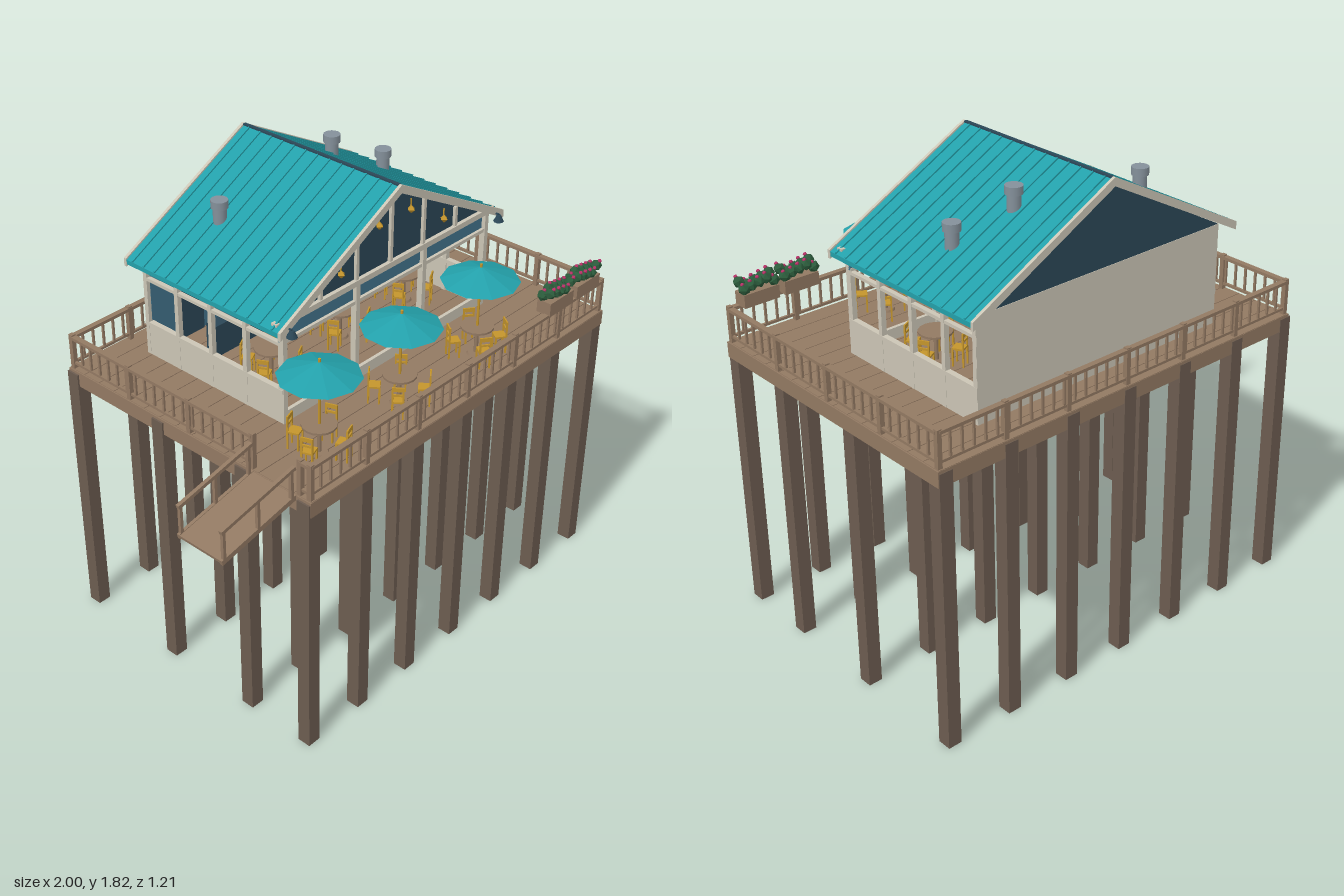
import * as THREE from 'three';
import { mergeGeometries } from 'three/addons/utils/BufferGeometryUtils.js';

const material = (name, color, side = THREE.FrontSide) => {
  const m = new THREE.MeshStandardMaterial({ color, side });
  m.name = name;
  return m;
};

// Geometry helpers
const box = (w, h, d, x, y, z) => new THREE.BoxGeometry(w, h, d).translate(x, y, z);
const span = (x0, x1, y0, y1, z0, z1) =>
  box(x1 - x0, y1 - y0, z1 - z0, (x0 + x1) / 2, (y0 + y1) / 2, (z0 + z1) / 2);
const cyl = (rt, rb, h, x, y, z, n = 12) => new THREE.CylinderGeometry(rt, rb, h, n).translate(x, y + h / 2, z);
function beam(a, b, w, h) {
  const A = new THREE.Vector3(...a), B = new THREE.Vector3(...b);
  const m = new THREE.Matrix4().lookAt(A, B, new THREE.Vector3(0, 1, 0));
  const mid = A.clone().add(B).multiplyScalar(0.5);
  return new THREE.BoxGeometry(w, h, A.distanceTo(B)).applyMatrix4(m).translate(mid.x, mid.y, mid.z);
}
function prism(points, z0, depth) {
  const s = new THREE.Shape(points.map(p => new THREE.Vector2(...p)));
  return new THREE.ExtrudeGeometry(s, { depth, bevelEnabled: false }).translate(0, 0, z0);
}

export function createModel() {
  const wood = material('deckWood', 0x927962);
  const pileWood = material('pileWood', 0x6c5c50);
  const teal = material('tealRoof', 0x23a0aa, THREE.DoubleSide);
  const cream = material('creamPaint', 0xcbc5b5);
  const navy = material('darkGable', 0x2b4757);
  const blue = material('blueWall', 0x43748c);
  const yellow = material('yellowChair', 0xc4952c);
  const grey = material('greyMetal', 0x84909a);
  const green = material('leafGreen', 0x2c5c3c);
  const pink = material('flowerPink', 0xb83268);

  const model = new THREE.Group();
  model.name = 'stiltRestaurant';
  const add = (name, mat, geos) => {
    const mesh = new THREE.Mesh(mergeGeometries(geos.map(g => g.index ? g.toNonIndexed() : g)), mat);
    mesh.name = name;
    model.add(mesh);
  };

  const D = 1.10; // deck height
  const cols = [-0.64, -0.375, -0.105, 0.165, 0.43, 0.70, 0.97];
  const rows = [0.57, 0.285, -0.125, -0.575];

  // Piles
  add('piles', pileWood, cols.flatMap(x => rows.map(z => box(0.054, 1.088, 0.054, x, 0.544, z))));

  // Deck: slab, planks, rim and joists
  add('deckSlab', wood, [span(-0.655, 0.995, 1.075, 1.09, -0.595, 0.595)]);
  const planks = [];
  for (let i = 0; i < 15; i++) planks.push(box(1.65, 0.012, 0.077, 0.17, D - 0.006, -0.56 + i * 0.08));
  add('deckPlanks', wood, planks);
  add('deckRim', wood, [
    span(-0.66, 1, 1.038, 1.098, 0.585, 0.6), span(-0.66, 1, 1.038, 1.098, -0.6, -0.585),
    span(-0.66, -0.645, 1.038, 1.098, -0.585, 0.585), span(0.985, 1, 1.038, 1.098, -0.585, 0.585)]);
  const joists = rows.map(z => span(-0.645, 0.985, 1.04, 1.076, z - 0.012, z + 0.012));
  for (let i = 0; i < 19; i++) joists.push(span(-0.58 + i * 0.083, -0.568 + i * 0.083, 1.05, 1.076, -0.585, 0.585));
  add('joists', pileWood, joists);

  // Deck railing
  const posts = [], rails = [], balusters = [];
  function railing(x0, z0, x1, z1, postCount) {
    const len = Math.hypot(x1 - x0, z1 - z0), n = Math.round(len / 0.048);
    const at = t => [x0 + (x1 - x0) * t, z0 + (z1 - z0) * t];
    for (let i = 0; i < postCount; i++) {
      const [x, z] = at(i / (postCount - 1));
      posts.push(box(0.018, 0.14, 0.018, x, D + 0.07, z));
    }
    for (let i = 1; i < n; i++) {
      const [x, z] = at(i / n);
      balusters.push(box(0.008, 0.1, 0.008, x, D + 0.07, z));
    }
    rails.push(beam([x0, 1.229, z0], [x1, 1.229, z1], 0.022, 0.012));
    rails.push(beam([x0, 1.122, z0], [x1, 1.122, z1], 0.01, 0.01));
  }
  railing(-0.645, 0.585, 0.985, 0.585, 7);
  railing(-0.645, -0.585, 0.985, -0.585, 7);
  railing(0.985, 0.585, 0.985, -0.585, 5);
  railing(-0.645, 0.325, -0.645, -0.585, 4);
  railing(-0.645, 0.585, -0.645, 0.54, 2);
  add('railPosts', wood, posts);
  add('handrails', wood, rails);
  add('balusters', wood, balusters);

  // Entrance ramp with sloping handrails
  const ramp = [beam([-0.655, 1.092, 0.43], [-0.997, 1.02, 0.43], 0.205, 0.012)];
  for (const z of [0.333, 0.527]) {
    ramp.push(beam([-0.655, 1.09, z], [-0.997, 1.018, z], 0.012, 0.02));
    ramp.push(beam([-0.66, 1.208, z], [-0.995, 1.136, z], 0.014, 0.014));
    for (const x of [-0.985, -0.83, -0.675]) {
      const y = 1.092 + (x + 0.655) * 0.21;
      ramp.push(box(0.012, 0.112, 0.012, x, y + 0.056, z));
    }
  }
  add('ramp', wood, ramp);

  // House walls
  const L = -0.395, R = 0.725, F = 0.225, B = -0.465, C = 0.165, E = 1.49;
  add('walls', cream, [
    span(L, R, D, E, B, B + 0.012),
    span(L, L + 0.014, D, 1.23, B, F), span(R - 0.014, R, D, 1.23, B, F),
    span(L, R, D, 1.145, F - 0.014, F)]);
  const gable = [[L, E], [R, E], [C, 1.795]];
  add('gables', navy, [prism(gable, F - 0.02, 0.008), prism(gable, B + 0.002, 0.01)]);
  add('innerBackWall', blue, [span(L + 0.014, R - 0.014, D, E, B + 0.012, B + 0.02)]);
  add('frontTransom', blue, [span(L, R, 1.425, E, F - 0.02, F - 0.012)]);
  add('wallPanels', navy, [-0.2, 0.165, 0.52].map(x => span(x - 0.07, x + 0.07, D, 1.36, B + 0.02, B + 0.026)));

  // Timber frame: posts, rails and gable studs
  const frame = [];
  for (const x of [L + 0.01, -0.015, 0.35, R - 0.01]) frame.push(span(x - 0.01, x + 0.01, D, E, F - 0.02, F + 0.004));
  for (const z of [0.045, -0.125, -0.295, -0.455])
    for (const x of [L + 0.009, R - 0.009]) frame.push(box(0.02, E - D, 0.018, x, (E + D) / 2, z));
  for (const x of [L + 0.009, R - 0.009]) {
    frame.push(box(0.018, 0.012, F - B, x, 1.415, (F + B) / 2));
    frame.push(box(0.022, 0.014, F - B, x, 1.23, (F + B) / 2));
    frame.push(box(0.02, 0.025, F - B, x, 1.478, (F + B) / 2));
  }
  frame.push(span(L, R, 1.418, 1.432, F - 0.022, F), span(L - 0.03, R + 0.03, 1.49, 1.512, F - 0.022, F + 0.004));
  for (const x of [-0.2, -0.015, C, 0.345, 0.53]) {
    const top = 1.79 - Math.abs(x - C) * 0.55;
    frame.push(span(x - 0.007, x + 0.007, E, top, F - 0.014, F));
  }
  add('timberFrame', cream, frame);

  // Roof: folded sheet, seams and barge boards
  const chevron = (w, top, eave, t) => [[C - w, eave], [C, top], [C + w, eave], [C + w, eave - t], [C, top - t], [C - w, eave - t]].reverse();
  add('roof', teal, [prism(chevron(0.605, 1.815, 1.495, 0.018), -0.495, 0.745)]);
  const seams = [];
  for (let i = 0; i < 13; i++)
    for (const s of [-1, 1])
      seams.push(beam([C, 1.818, -0.465 + i * 0.057], [C + s * 0.605, 1.498, -0.465 + i * 0.057], 0.006, 0.006));
  add('roofSeams', teal, seams);
  add('ridgeCap', navy, [box(0.014, 0.006, 0.745, C, 1.818, -0.1225)]);
  const barge = chevron(0.607, 1.822, 1.5, 0.032);
  add('bargeBoards', cream, [prism(barge, 0.25, 0.012), prism(barge, -0.507, 0.012)]);

  // Roof vents
  add('roofVents', grey, [[-0.18, 1.71, -0.28], [0.38, 1.78, -0.255], [0.577, 1.68, -0.172]].flatMap(([x, y, z]) => [
    cyl(0.025, 0.025, 0.12, x, y - 0.13, z, 16), cyl(0.032, 0.032, 0.03, x, y - 0.03, z, 16)]));

  // Gable lanterns and wall lamps
  add('gableLanterns', yellow, [[0.08, 1.69], [0.25, 1.69], [-0.115, 1.58], [0.44, 1.58]].flatMap(([x, y]) => [
    new THREE.OctahedronGeometry(0.016).translate(x, y, F + 0.012), cyl(0.003, 0.003, 0.03, x, y + 0.01, F + 0.01, 6)]));
  add('wallLamps', navy, [-0.4, 0.725].flatMap(x => [
    cyl(0.008, 0.02, 0.025, x, 1.475, 0.275, 10), box(0.006, 0.006, 0.05, x, 1.502, 0.25)]));

  // Dining sets on the deck and inside
  const tables = [], chairs = [];
  function chair(cx, cz, angle, r) {
    const parts = [box(0.044, 0.007, 0.044, 0, 0.068, 0), box(0.044, 0.016, 0.005, 0, 0.122, 0.02),
      box(0.044, 0.008, 0.005, 0, 0.098, 0.02)];
    for (const x of [-0.019, 0.019]) {
      parts.push(box(0.006, 0.068, 0.006, x, 0.034, -0.019), box(0.006, 0.13, 0.006, x, 0.065, 0.02));
    }
    for (const p of parts) chairs.push(p.translate(0, 0, r).rotateY(angle).translate(cx, D, cz));
  }
  function diningSet(x, z, turn) {
    tables.push(cyl(0.062, 0.062, 0.008, x, D + 0.112, z, 16), cyl(0.008, 0.008, 0.112, x, D, z, 8),
      cyl(0.03, 0.034, 0.008, x, D, z, 12));
    for (let i = 0; i < 4; i++) chair(x, z, turn + i * Math.PI / 2, 0.088);
  }
  const umbrellaX = [-0.435, -0.02, 0.42];
  umbrellaX.forEach((x, i) => diningSet(x, 0.43, 0.35 + i * 0.3));
  for (const x of [-0.2, 0.17, 0.54]) diningSet(x, -0.02, 0.5);
  add('tables', wood, tables);
  add('chairs', yellow, chairs);
  add('barCounter', navy, [span(-0.25, 0.4, D, 1.23, -0.3, -0.25)]);

  // Umbrellas
  add('umbrellaCanopies', teal, umbrellaX.map(x =>
    new THREE.ConeGeometry(0.146, 0.054, 10, 1, true).toNonIndexed().translate(x, 1.437, 0.43)));
  model.getObjectByName('umbrellaCanopies').geometry.computeVertexNormals();
  add('umbrellaPoles', yellow, umbrellaX.map(x => cyl(0.005, 0.005, 0.375, x, D, 0.43, 8)));

  // Flower boxes on the front rail
  const tubs = [], leaves = [], flowers = [];
  for (const x of [0.705, 0.875]) {
    tubs.push(span(x - 0.073, x + 0.073, 1.232, 1.283, 0.54, 0.6));
    for (let i = 0; i < 10; i++) {
      const px = x - 0.062 + (i % 5) * 0.031, pz = i < 5 ? 0.555 : 0.586, py = 1.3 + (i * 7 % 4) * 0.006;
      leaves.push(new THREE.IcosahedronGeometry(0.023, 0).rotateY(i).translate(px, py, pz));
      flowers.push(new THREE.IcosahedronGeometry(0.008, 0).translate(px + 0.006, py + 0.019, pz + (i < 5 ? 0 : 0.01)));
    }
  }
  add('flowerBoxes', wood, tubs);
  add('leaves', green, leaves);
  add('flowers', pink, flowers);

  return model;
}
